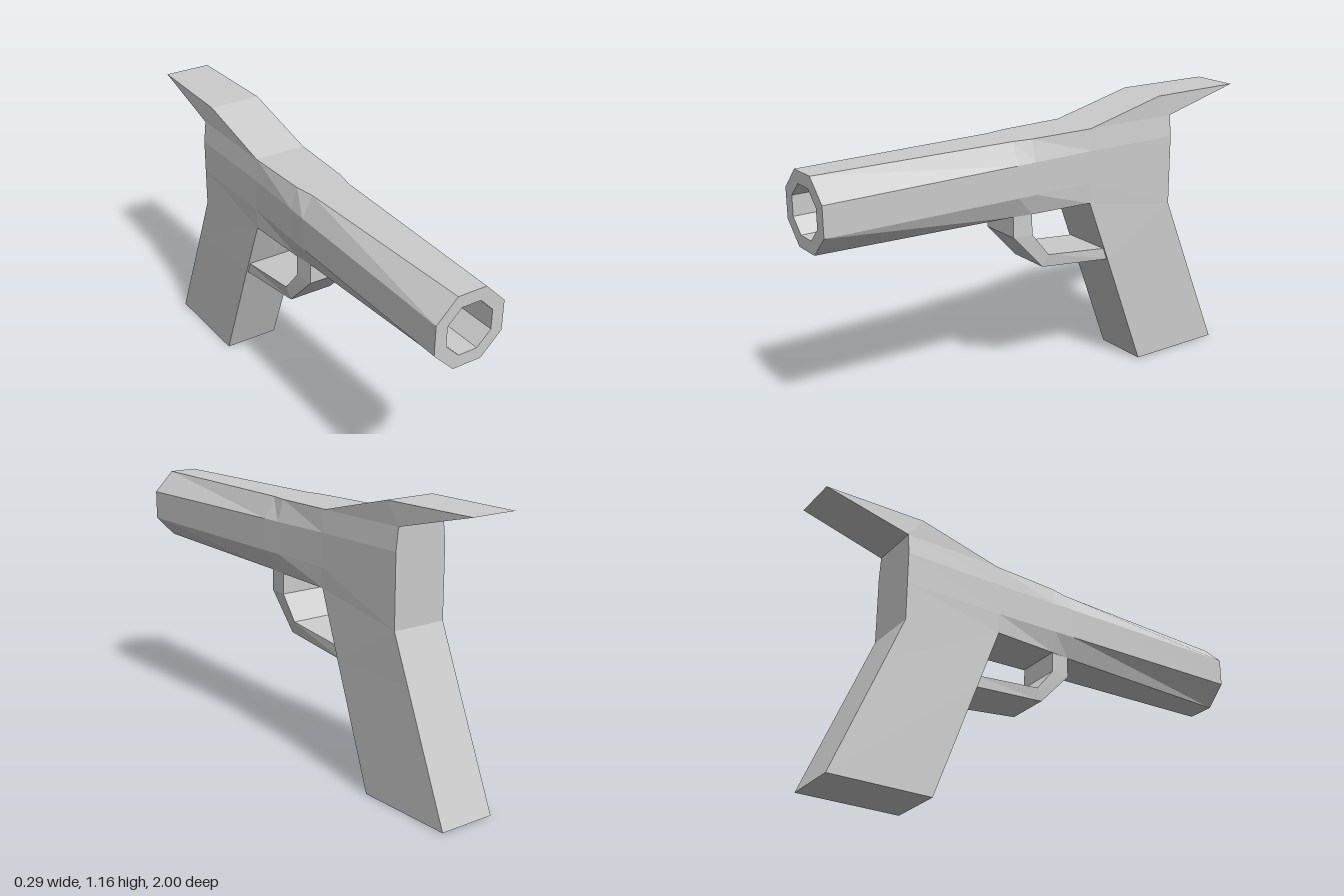
import * as THREE from 'three';

const material = new THREE.MeshStandardMaterial({ color: 0xcccccc, flatShading: true });

// Skin a list of rings; each ring runs counter-clockwise seen from the end of the loft.
function loft(name, rings, capStart = true, capEnd = true) {
  const n = rings[0].length;
  const index = [];
  for (let k = 0; k < rings.length - 1; k++) {
    for (let i = 0; i < n; i++) {
      const j = (i + 1) % n;
      const a = k * n + i, b = k * n + j, c = a + n, d = b + n;
      index.push(a, b, d, a, d, c);
    }
  }
  const last = (rings.length - 1) * n;
  for (let i = 1; i < n - 1; i++) {
    if (capStart) index.push(0, i + 1, i);
    if (capEnd) index.push(last, last + i, last + i + 1);
  }
  const indexed = new THREE.BufferGeometry();
  indexed.setAttribute('position', new THREE.Float32BufferAttribute(rings.flat(2), 3));
  indexed.setIndex(index);
  const geometry = indexed.toNonIndexed();
  geometry.computeVertexNormals();
  const mesh = new THREE.Mesh(geometry, material);
  mesh.name = name;
  return mesh;
}

// Eight-sided cross-section, symmetric in x
const section = (z, top, side, bottom, yBottom, yLow, yHigh, yTop) => [
  [bottom, yBottom, z], [side, yLow, z], [side, yHigh, z], [top, yTop, z],
  [-top, yTop, z], [-side, yHigh, z], [-side, yLow, z], [-bottom, yBottom, z],
];

// Regular octagon around the bore axis, r = half its width
const octagon = (z, r) => {
  const f = r * Math.tan(Math.PI / 8), y = 0.92;
  return section(z, f, r, f, y - r, y - f, y + f, y + r);
};

// Four-cornered ring from an outer/front point and an inner/back point [z, y, halfWidth]
const band = ([z0, y0, w0], [z1, y1, w1]) =>
  [[w0, y0, z0], [-w0, y0, z0], [-w1, y1, z1], [w1, y1, z1]];

export function createModel() {
  const model = new THREE.Group();

  // Octagonal barrel blending into the square receiver, with the recessed bore
  model.add(loft('barrelAndReceiver', [
    section(-0.64, 0.11, 0.12, 0.12, 0.69, 0.85, 0.985, 1.075),
    section(-0.21, 0.11, 0.12, 0.117, 0.765, 0.85, 0.985, 1.075),
    section(0.07, 0.1, 0.127, 0.102, 0.766, 0.852, 0.984, 1.072),
    section(0.155, 0.085, 0.13, 0.093, 0.767, 0.852, 0.984, 1.071),
    octagon(1, 0.147),
    octagon(1, 0.097),
    octagon(0.4, 0.097),
    octagon(0.4, 0.025),
    octagon(0.3, 0.025),
  ]));

  // Raked grip
  model.add(loft('grip', [
    band([-0.21, 0.765, 0.117], [-0.64, 0.69, 0.12]),
    band([-0.309, 0.5, 0.12], [-0.718, 0.5, 0.12]),
    band([-0.495, 0, 0.122], [-0.925, 0, 0.122]),
  ], false));

  // Trigger guard strap
  model.add(loft('triggerGuard', [
    band([0.155, 0.79, 0.093], [0.07, 0.79, 0.1]),
    band([0.155, 0.68, 0.093], [0.07, 0.68, 0.102]),
    band([0.015, 0.53, 0.097], [-0.01, 0.58, 0.105]),
    band([-0.33, 0.498, 0.113], [-0.32, 0.548, 0.113]),
  ]));

  // Swept fin on top of the receiver
  const finSide = (s) => [
    [s * 0.11, 1.163, -0.575], [s * 0.11, 1.075, -0.215],
    [s * 0.11, 1.075, -0.64], [s * 0.1, 1.163, -1],
  ];
  model.add(loft('rearFin', [finSide(-1), finSide(1)]));

  return model;
}
